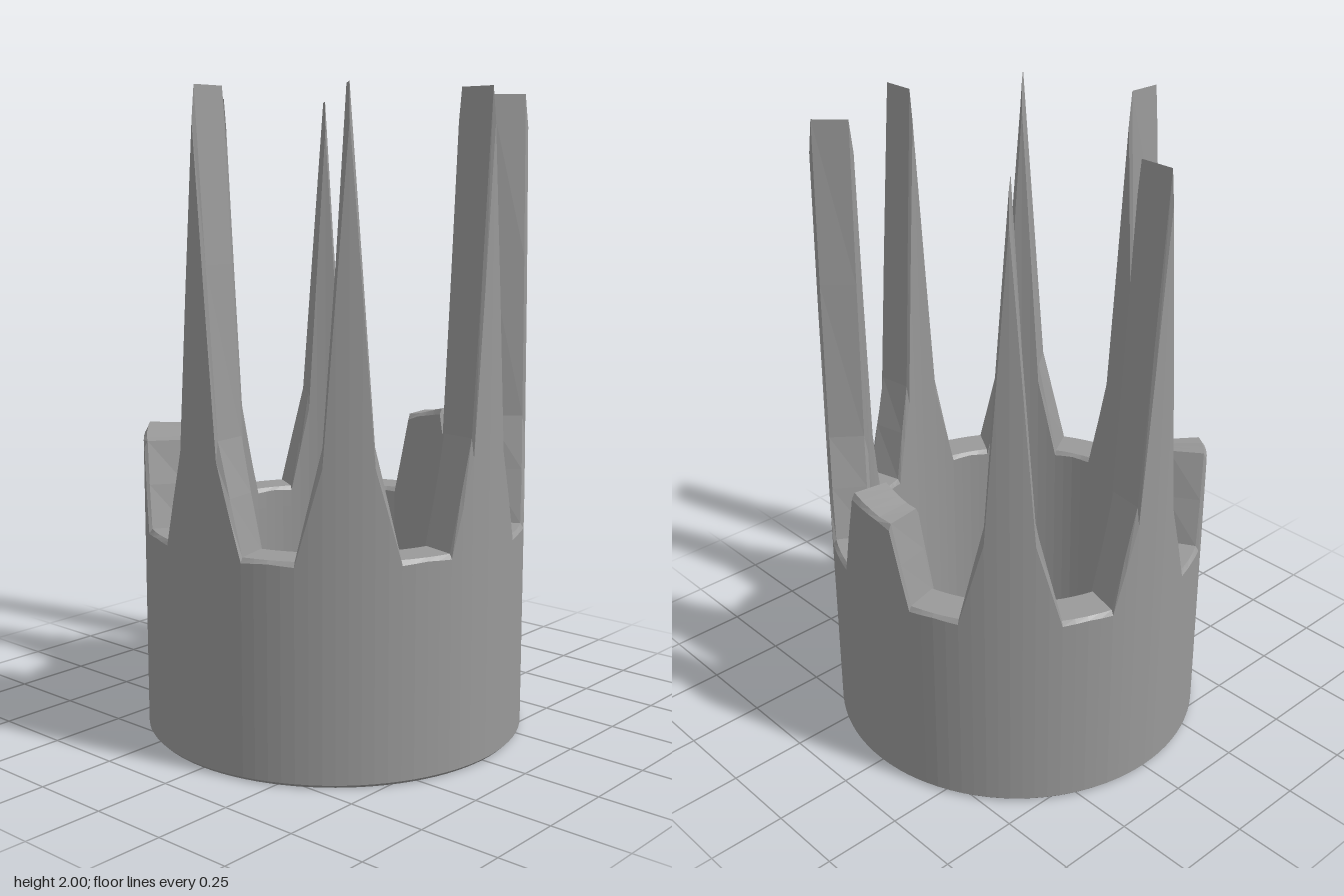
import * as THREE from 'three';

const RO = 0.605, RI = 0.475; // outer and inner radius
const SEAM = 0.6;             // height where the points grow out of the band
const C = 0.01;               // edge chamfer
const COUNT = 8;

// Profiles: [angle in degrees, top height, chamfer drop on the walls]
const fullPoint = [
  [-22.5, 0.67, 0.01], [-14.8, 0.67, 0.015], [-7.1, 1.0, 0.06], [0, 2.0, 0.1],
  [7.1, 1.0, 0.06], [14.8, 0.67, 0.015], [22.5, 0.67, 0.01],
];
const brokenPoint = [
  [-22.5, 0.67, 0.01], [-14.8, 0.67, 0.015], [-7.8, 0.968, 0.02], [4, 0.94, 0.01],
  [8.6, 0.935, 0.02], [14.8, 0.67, 0.015], [22.5, 0.67, 0.01],
];

// Subdivide a profile so the wall stays round
function stations(profile, centre) {
  const out = [];
  for (let i = 0; i < profile.length - 1; i++) {
    const p = profile[i], q = profile[i + 1];
    const n = Math.ceil(Math.abs(q[0] - p[0]) / 5);
    for (let k = 0; k < n; k++) {
      out.push(p.map((v, j) => v + (q[j] - v) * k / n));
    }
  }
  out.push(profile[profile.length - 1]);
  return out.map(([a, h, d]) => ({ a: (a + centre) * Math.PI / 180, h, d }));
}

// Sweep a cross-section of [radius, height] points round the axis
function sweep(list, section) {
  const pos = [], idx = [];
  const n = section(list[0]).length;
  list.forEach((s, i) => {
    section(s).forEach(([r, y], j) => {
      pos.push(r * Math.sin(s.a), y, r * Math.cos(s.a));
      if (i < list.length - 1 && j < n - 1) {
        const A = i * n + j, B = A + n;
        idx.push(A, B, B + 1, A, B + 1, A + 1);
      }
    });
  });
  const g = new THREE.BufferGeometry();
  g.setAttribute('position', new THREE.Float32BufferAttribute(pos, 3));
  g.setIndex(idx);
  g.computeVertexNormals();
  return g;
}

const bandSection = () => [
  [RI, SEAM], [RI, C], [RI + C, 0], [RO - C, 0], [RO, C], [RO, SEAM],
];
const pointSection = ({ h, d }) => [
  [RO, SEAM], [RO, h - d], [RO - C, h], [RI + C, h], [RI, h - d], [RI, SEAM],
];

export function createModel() {
  const grey = new THREE.MeshStandardMaterial({ color: 0x999999, flatShading: true });
  grey.name = 'grey';
  const group = new THREE.Group();
  group.name = 'crown';
  const add = (geometry, name) => {
    const mesh = new THREE.Mesh(geometry, grey);
    mesh.name = name;
    group.add(mesh);
  };

  // Eight points, of which the back one and one at the front are snapped off
  const all = [];
  for (let i = 0; i < COUNT; i++) {
    const broken = i === 4 || i === 7;
    const list = stations(broken ? brokenPoint : fullPoint, i * 360 / COUNT);
    add(sweep(list, pointSection), broken ? 'brokenPoint' : 'point');
    all.push(...(i ? list.slice(1) : list));
  }

  // Plain band below the points
  add(sweep(all, bandSection), 'band');
  return group;
}
